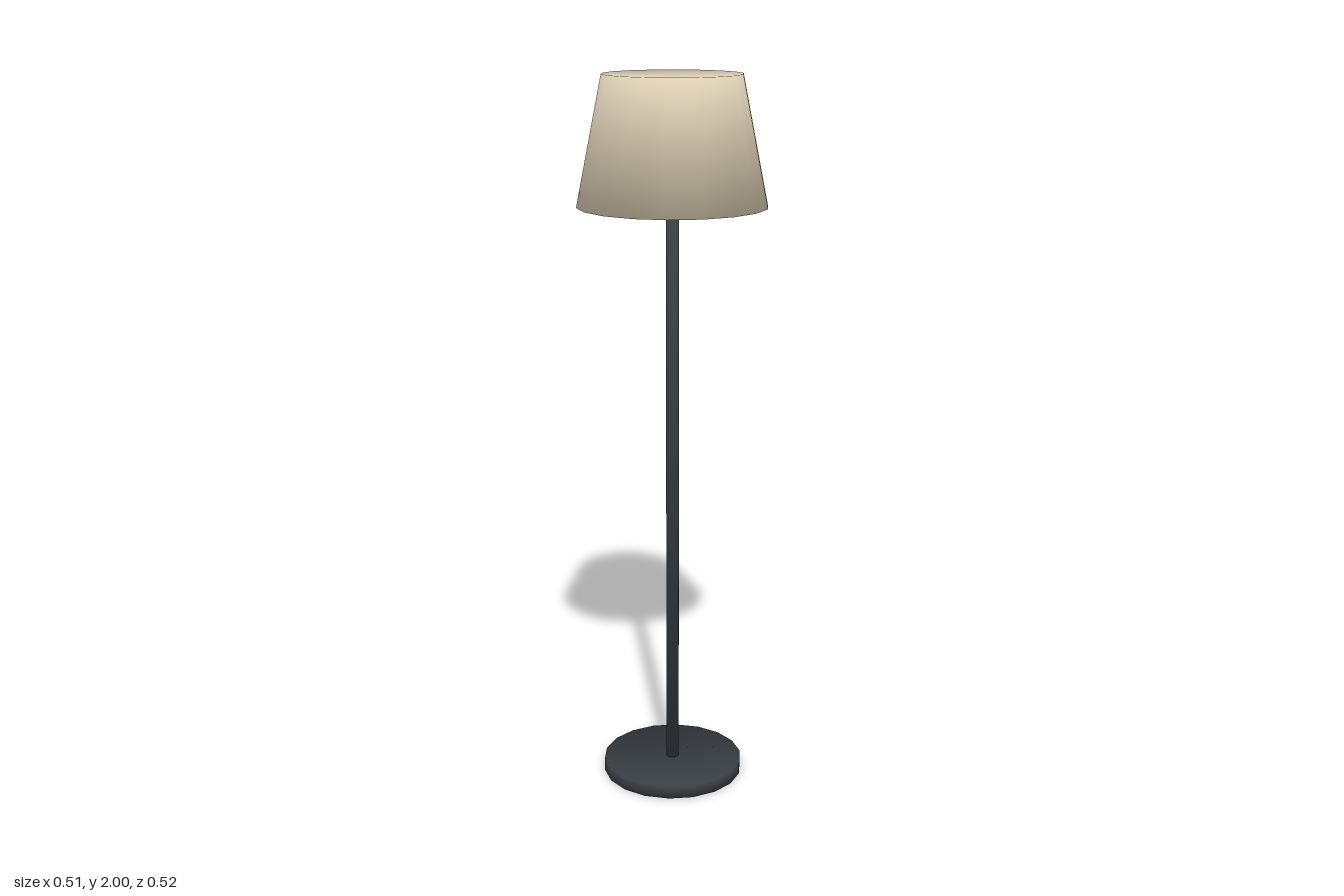
import * as THREE from 'three';

const SIDES = 18;

// Closed, capped frustum whose normals run smoothly over the rims
function softFrustum(bottomRadius, topRadius, y0, y1, sides = SIDES) {
  const position = [], normal = [], index = [];
  const slope = Math.atan2(bottomRadius - topRadius, y1 - y0);
  // each rim normal blends the cap and two walls, weighted by corner angle
  const cap = Math.PI * (1 - 2 / sides), wall = Math.PI;
  const rims = [
    { r: bottomRadius, y: y0, up: wall * Math.sin(slope) - cap },
    { r: topRadius, y: y1, up: wall * Math.sin(slope) + cap },
  ];
  for (const { r, y, up } of rims) {
    for (let i = 0; i < sides; i++) {
      const a = (i / sides) * Math.PI * 2, s = Math.sin(a), c = Math.cos(a);
      const out = wall * Math.cos(slope);
      const n = new THREE.Vector3(s * out, up, c * out).normalize();
      position.push(s * r, y, c * r);
      normal.push(n.x, n.y, n.z);
    }
  }
  for (let i = 0; i < sides; i++) {
    const j = (i + 1) % sides;
    index.push(i, j, sides + j, i, sides + j, sides + i); // wall
    if (i > 0 && j > 0) {
      index.push(0, j, i); // bottom cap
      index.push(sides, sides + i, sides + j); // top cap
    }
  }
  const geometry = new THREE.BufferGeometry();
  geometry.setAttribute('position', new THREE.Float32BufferAttribute(position, 3));
  geometry.setAttribute('normal', new THREE.Float32BufferAttribute(normal, 3));
  geometry.setIndex(index);
  return geometry;
}

export function createModel() {
  const darkMetal = new THREE.MeshStandardMaterial({ color: 0x3a3f44 });
  darkMetal.name = 'dark metal';
  const beigeFabric = new THREE.MeshStandardMaterial({ color: 0xdccfb4 });
  beigeFabric.name = 'beige fabric';

  const lamp = new THREE.Group();
  lamp.name = 'floorLamp';
  const add = (name, geometry, material) => {
    const mesh = new THREE.Mesh(geometry, material);
    mesh.name = name;
    lamp.add(mesh);
  };

  add('base', softFrustum(0.2, 0.2, 0, 0.037), darkMetal);
  add('pole', softFrustum(0.018, 0.018, 0.037, 1.655), darkMetal);
  add('shade', softFrustum(0.259, 0.189, 1.652, 2), beigeFabric);
  return lamp;
}
